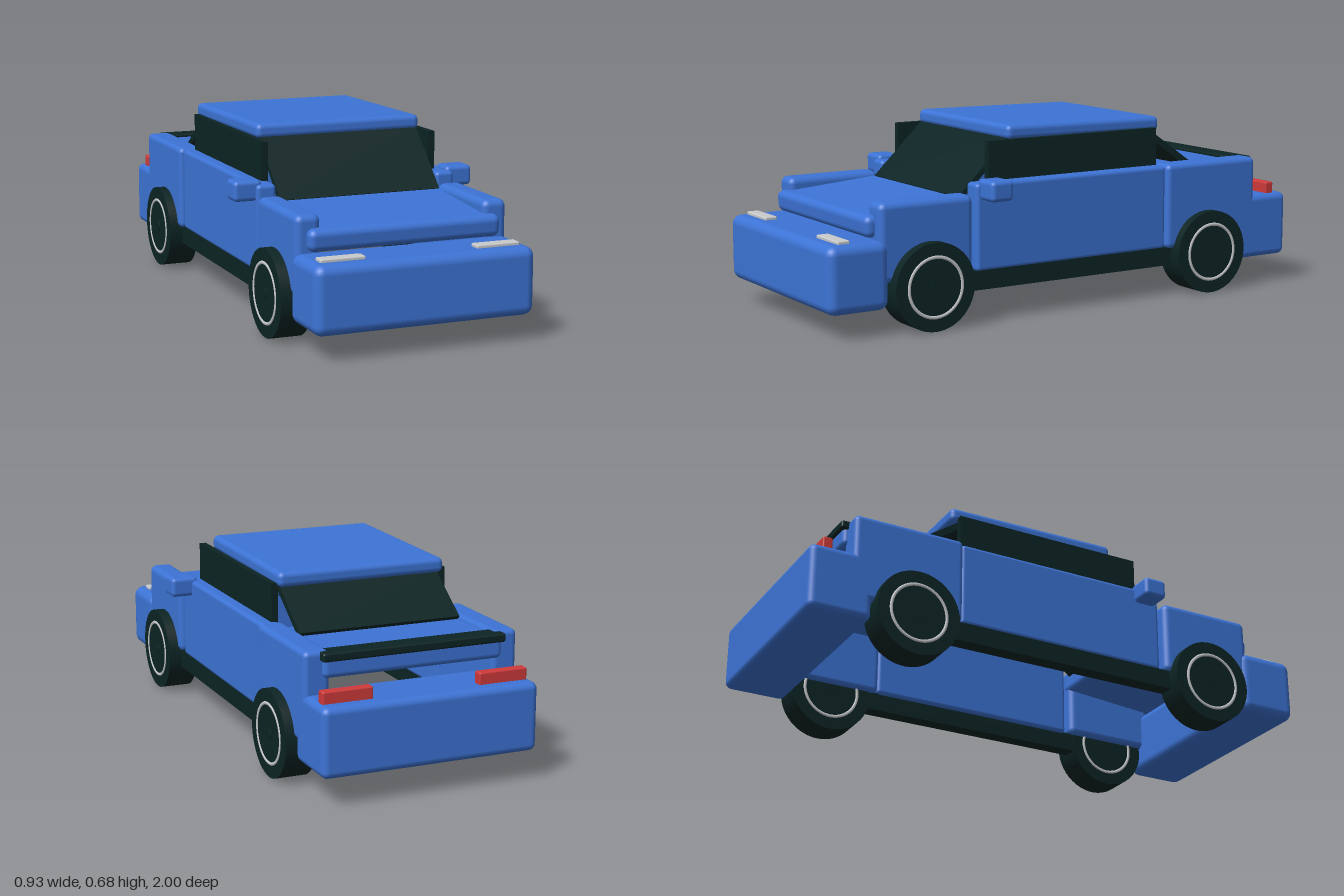
import * as THREE from 'three';
import { RoundedBoxGeometry } from 'three/addons/geometries/RoundedBoxGeometry.js';

export function createModel() {
  const car = new THREE.Group();
  car.name = 'car';

  const material = (name, color) => {
    const m = new THREE.MeshStandardMaterial({ color });
    m.name = name;
    return m;
  };
  const blue = material('blue paint', 0x3d74d6);
  const dark = material('dark glass and rubber', 0x0d2424);
  const silver = material('silver', 0xc8cacc);
  const red = material('red light', 0xd03a3a);

  const add = (name, geometry, mat, parent = car) => {
    const mesh = new THREE.Mesh(geometry, mat);
    mesh.name = name;
    parent.add(mesh);
    return mesh;
  };

  // Box given by its limits on each axis; radius 0 keeps sharp edges
  const box = (name, mat, [x0, x1], [y0, y1], [z0, z1], radius = 0, tilt = 0) => {
    const size = [x1 - x0, y1 - y0, z1 - z0];
    const geometry = radius ? new RoundedBoxGeometry(...size, 3, radius) : new THREE.BoxGeometry(...size);
    const mesh = add(name, geometry, mat);
    mesh.position.set((x0 + x1) / 2, (y0 + y1) / 2, (z0 + z1) / 2);
    mesh.rotation.x = tilt;
    return mesh;
  };
  const pair = (name, mat, [x0, x1], y, z, radius) => {
    box('left' + name, mat, [x0, x1], y, z, radius);
    box('right' + name, mat, [-x1, -x0], y, z, radius);
  };

  // Sloping glass pane between two points (z, y) seen from the side
  const pane = (name, halfWidth, [z0, y0], [z1, y1], thickness) => {
    const length = Math.hypot(z1 - z0, y1 - y0);
    const mesh = add(name, new THREE.BoxGeometry(halfWidth * 2, thickness, length), dark);
    mesh.position.set(0, (y0 + y1) / 2, (z0 + z1) / 2);
    mesh.rotation.x = -Math.atan2(y1 - y0, z1 - z0);
  };

  // Bumpers
  box('frontBumper', blue, [-0.405, 0.405], [0.09, 0.33], [0.765, 1], 0.035);
  box('rearBumper', blue, [-0.4, 0.4], [0.105, 0.35], [-1, -0.765], 0.025);

  // Body panels
  box('hood', blue, [-0.357, 0.357], [0.35, 0.428], [0.425, 0.833], 0.025, 0.08);
  box('trunkLid', blue, [-0.335, 0.335], [0.405, 0.483], [-0.857, -0.43], 0.02);
  pair('FrontFender', blue, [0.303, 0.395], [0.18, 0.46], [0.428, 0.8], 0.025);
  pair('RearFender', blue, [0.305, 0.4], [0.18, 0.5], [-0.84, -0.418], 0.02);
  pair('Door', blue, [0.312, 0.385], [0.18, 0.495], [-0.42, 0.41], 0.015);
  pair('Sill', dark, [0.325, 0.383], [0.115, 0.185], [-0.5, 0.5]);
  pair('Mirror', blue, [0.36, 0.465], [0.436, 0.51], [0.305, 0.395], 0.016);

  // Cabin
  box('roof', blue, [-0.322, 0.322], [0.625, 0.68], [-0.433, 0.242], 0.02, -0.013);
  box('headliner', dark, [-0.31, 0.31], [0.615, 0.63], [-0.4, 0.23]);
  pair('SideWindow', dark, [0.315, 0.34], [0.48, 0.635], [-0.405, 0.335]);
  pane('windshield', 0.31, [0.225, 0.635], [0.435, 0.435], 0.02);
  pane('rearWindow', 0.308, [-0.58, 0.485], [-0.39, 0.615], 0.025);

  // Rear spoiler bar
  box('spoiler', dark, [-0.342, 0.342], [0.465, 0.496], [-0.868, -0.79], 0.008);

  // Lights
  pair('Headlight', silver, [0.205, 0.367], [0.315, 0.341], [0.9, 0.947], 0.005);
  pair('Taillight', red, [0.197, 0.38], [0.345, 0.392], [-0.949, -0.912], 0.006);

  // Wheels: tyre, a thin rim ring on each face and a small hub cap
  const tyre = new THREE.CylinderGeometry(0.157, 0.157, 0.113, 48).rotateZ(Math.PI / 2);
  const ring = new THREE.TorusGeometry(0.106, 0.006, 8, 48).rotateY(Math.PI / 2).scale(0.6, 1, 1);
  const hub = new THREE.CylinderGeometry(0.022, 0.022, 0.119, 20).rotateZ(Math.PI / 2);
  for (const [end, z] of [['front', 0.605], ['rear', -0.605]]) {
    for (const [side, s] of [['Left', 1], ['Right', -1]]) {
      const wheel = new THREE.Group();
      wheel.name = end + side + 'Wheel';
      wheel.position.set(s * 0.377, 0.157, z);
      add('tyre', tyre, dark, wheel);
      add('hubCap', hub, dark, wheel);
      for (const face of [-1, 1]) add('rimRing', ring, silver, wheel).position.x = face * 0.0565;
      car.add(wheel);
    }
  }
  return car;
}
